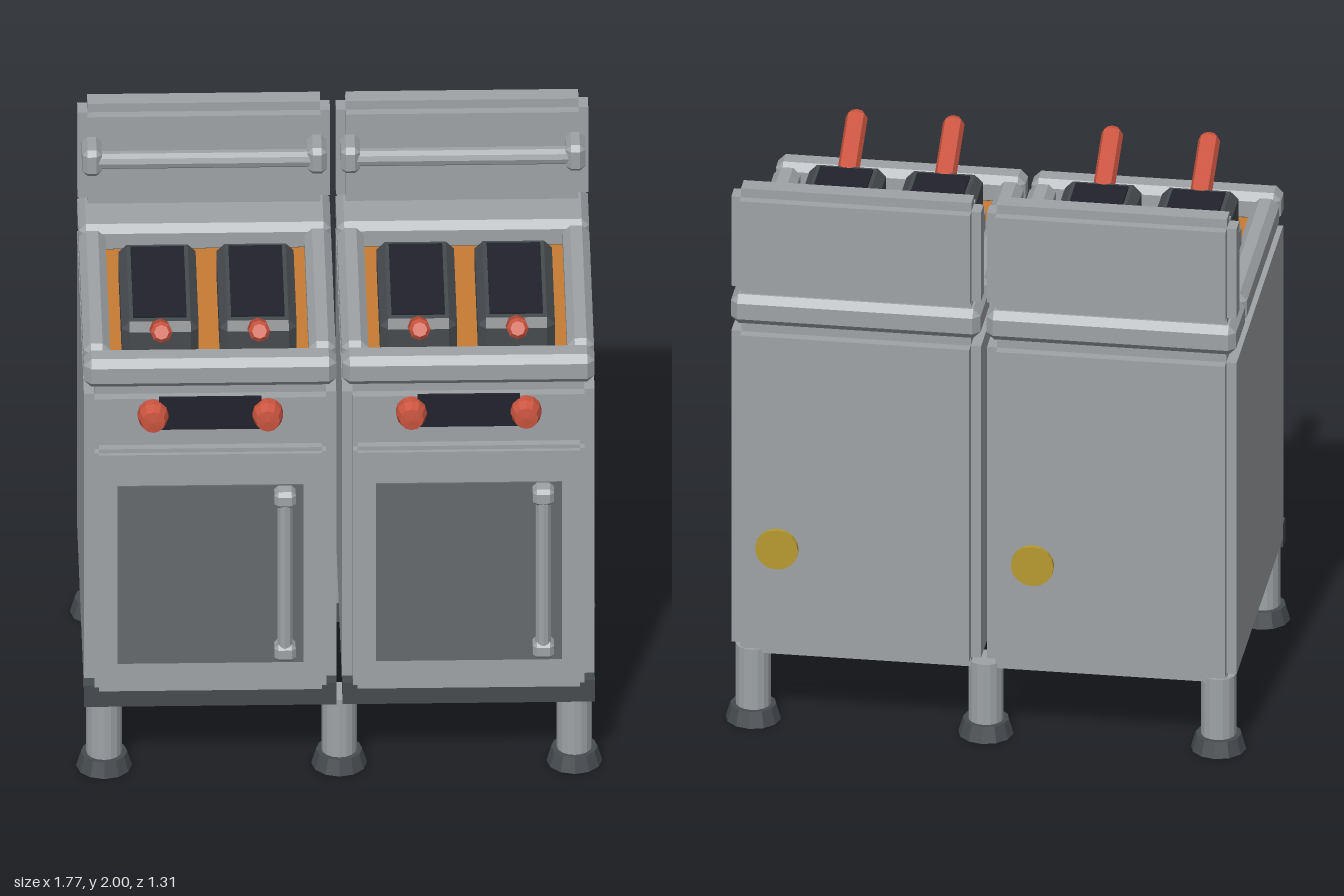
import * as THREE from 'three';
import { ConvexGeometry } from 'three/addons/geometries/ConvexGeometry.js';

const mat = (name, color) => new THREE.MeshStandardMaterial({ name, color, flatShading: true });

export function createModel() {
  const steel = mat('steel', 0x9ea3a6);
  const windowGrey = mat('windowGrey', 0x666a6d);
  const darkGrey = mat('darkGrey', 0x464b4f);
  const black = mat('panelBlack', 0x22222c);
  const red = mat('handleRed', 0xcc5540);
  const brass = mat('brass', 0xb89a30);
  const copper = mat('copper', 0xc67c34);

  const model = new THREE.Group();
  model.name = 'doubleFryer';

  const add = (parent, name, geometry, material) => {
    const mesh = new THREE.Mesh(geometry, material);
    mesh.name = name;
    parent.add(mesh);
    return mesh;
  };

  // All boxes are given by their min and max on each axis
  const box = (parent, name, material, [x0, x1], [y0, y1], [z0, z1]) => {
    const m = add(parent, name, new THREE.BoxGeometry(x1 - x0, y1 - y0, z1 - z0), material);
    m.position.set((x0 + x1) / 2, (y0 + y1) / 2, (z0 + z1) / 2);
    return m;
  };

  // Box with notched edges: three crossing boxes
  const steppedBox = (parent, name, material, x, y, z, s) => {
    const group = new THREE.Group();
    group.name = name;
    parent.add(group);
    const inset = ([a, b]) => [a + s, b - s];
    box(group, name + 'Sides', material, x, inset(y), inset(z));
    box(group, name + 'Ends', material, inset(x), y, inset(z));
    box(group, name + 'Faces', material, inset(x), inset(y), z);
  };

  // Box with chamfered edges
  const chamferBox = (parent, name, material, x, y, z, c) => {
    const points = [];
    for (const i of [0, 1]) for (const j of [0, 1]) for (const k of [0, 1]) {
      const corner = [x[i], y[j], z[k]];
      const inner = [x[i] + c * (1 - 2 * i), y[j] + c * (1 - 2 * j), z[k] + c * (1 - 2 * k)];
      for (let a = 0; a < 3; a++) {
        points.push(new THREE.Vector3(...inner.map((v, n) => (n === a ? corner[n] : v))));
      }
    }
    return add(parent, name, new ConvexGeometry(points), material);
  };

  // Turned part along +y from [radius, height] pairs
  const turned = (parent, name, material, profile, sides) =>
    add(parent, name, new THREE.LatheGeometry(profile.map(p => new THREE.Vector2(...p)), sides), material);

  const buildUnit = (cx) => {
    const unit = new THREE.Group();
    unit.name = 'fryerUnit';
    unit.position.x = cx;
    model.add(unit);
    const W = 0.425;

    // Cabinet, kick plate and door
    steppedBox(unit, 'cabinet', steel, [-W, W], [0.265, 1.5], [-0.595, 0.545], 0.035);
    box(unit, 'kickPlate', darkGrey, [-W, W], [0.265, 0.35], [0.5, 0.557]);
    steppedBox(unit, 'door', steel, [-0.39, 0.39], [0.335, 1.285], [0.52, 0.588], 0.015);
    box(unit, 'doorWindow', windowGrey, [-0.313, 0.313], [0.455, 1.15], [0.587, 0.594]);

    // Door handle
    const bar = add(unit, 'doorHandle', new THREE.CylinderGeometry(0.027, 0.027, 0.6, 10), steel);
    bar.position.set(0.25, 0.82, 0.627);
    for (const y of [0.49, 1.09]) {
      chamferBox(unit, 'doorHandleMount', steel, [0.214, 0.286], [y, y + 0.062], [0.585, 0.658], 0.014);
    }

    // Control panel and knobs
    box(unit, 'controlPanel', black, [-0.173, 0.173], [1.35, 1.475], [0.548, 0.557]);
    for (const side of [-1, 1]) {
      const knob = turned(unit, 'knob', red,
        [[0, 0], [0.052, 0], [0.052, 0.032], [0.04, 0.068], [0, 0.072]], 12);
      knob.rotation.x = Math.PI / 2;
      knob.position.set(side * 0.193, 1.412, 0.545);
    }

    // Worktop rim around the cooking plate
    const top = [1.5, 1.608];
    chamferBox(unit, 'backRim', steel, [-W, W], top, [-0.595, -0.34], 0.025);
    chamferBox(unit, 'frontRim', steel, [-W, W], top, [0.437, 0.545], 0.025);
    for (const x of [[-W, -0.335], [0.335, W]]) {
      chamferBox(unit, 'sideRim', steel, x, top, [-0.345, 0.442], 0.025);
    }
    box(unit, 'cookingPlate', copper, [-0.38, 0.38], [1.49, 1.52], [-0.37, 0.47]);

    // Frying pans with handles
    for (const x of [-0.165, 0.165]) {
      chamferBox(unit, 'pan', darkGrey, [x - 0.13, x + 0.13], [1.515, 1.656], [-0.172, 0.383], 0.027);
      box(unit, 'panFilling', black, [x - 0.09, x + 0.09], [1.655, 1.663], [-0.123, 0.333]);
      const grip = turned(unit, 'panHandle', red,
        [[0, 0], [0.026, 0], [0.037, 0.014], [0.037, 0.245], [0.025, 0.262], [0, 0.262]], 8);
      grip.rotation.x = Math.PI / 2 - 0.5;
      grip.position.set(x, 1.622, 0.352);
    }

    // Splashback and rail
    steppedBox(unit, 'splashback', steel, [-W, W], [1.6, 2.0], [-0.595, -0.465], 0.033);
    const rail = add(unit, 'rail', new THREE.CylinderGeometry(0.031, 0.031, 0.74, 10), steel);
    rail.rotation.z = Math.PI / 2;
    rail.position.set(0, 1.847, -0.385);
    for (const x of [-0.412, 0.346]) {
      chamferBox(unit, 'railMount', steel, [x, x + 0.066], [1.797, 1.897], [-0.47, -0.347], 0.018);
    }

    // Gas connector at the back
    const valve = turned(unit, 'gasConnector', brass,
      [[0, 0], [0.048, 0], [0.048, 0.045], [0.073, 0.045], [0.073, 0.062], [0, 0.062]], 16);
    valve.rotation.x = -Math.PI / 2;
    valve.position.set(0.257, 0.7, -0.594);
  };

  for (const cx of [-0.435, 0.435]) buildUnit(cx);

  // Shared legs with flared feet
  for (const x of [-0.792, 0, 0.792]) for (const z of [-0.513, 0.495]) {
    const leg = add(model, 'leg', new THREE.CylinderGeometry(0.06, 0.06, 0.24, 16), steel);
    leg.position.set(x, 0.16, z);
    const foot = add(model, 'foot', new THREE.CylinderGeometry(0.078, 0.094, 0.055, 12), darkGrey);
    foot.position.set(x, 0.0275, z);
  }

  return model;
}
